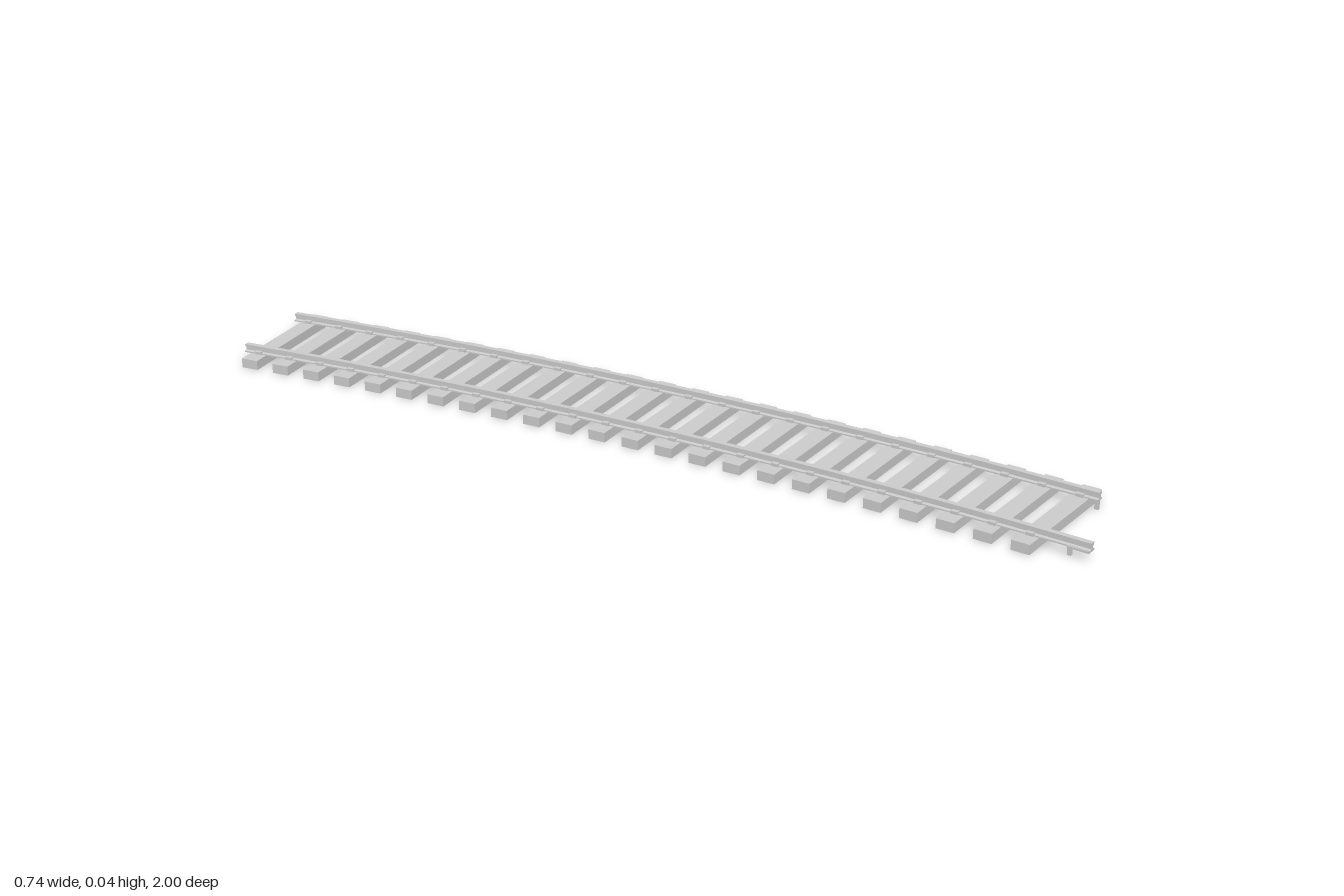
import * as THREE from 'three';

const R = 9;                                   // centreline radius of the curve
const MID = THREE.MathUtils.degToRad(13.97);   // heading at the middle
const HALF = 0.1026;                           // half the angle between end sleepers
const COUNT = 24;
const GAUGE = 0.104;                           // rail offset from the centreline
const TOP = 0.021;                             // sleeper height

const mat = new THREE.MeshStandardMaterial({ color: 0xcccccc, flatShading: true });
const matDouble = new THREE.MeshStandardMaterial({ color: 0xcccccc, flatShading: true, side: THREE.DoubleSide });

export function createModel() {
  const model = new THREE.Group();
  model.name = 'curvedTrack';

  // Everything is placed around the centre of the curve
  const track = new THREE.Group();
  track.name = 'track';
  track.position.set(0.044 - R * Math.cos(MID), 0, -0.046 + R * Math.sin(MID));
  model.add(track);

  const start = MID + HALF, end = MID - HALF;

  // Box sitting across the track at an angle and radius
  const place = (name, geo, r, y, a) => {
    const m = new THREE.Mesh(geo, mat);
    m.name = name;
    m.position.set(r * Math.cos(a), y, -r * Math.sin(a));
    m.rotation.y = a;
    track.add(m);
  };

  // Sleepers with rail chairs; the last sleeper is open underneath
  const sleeper = new THREE.BoxGeometry(0.3, TOP, 0.039);
  const openSleeper = sleeper.clone();
  const idx = Array.from(sleeper.index.array);
  idx.splice(18, 6);
  openSleeper.setIndex(idx);
  const chair = new THREE.BoxGeometry(0.024, 0.006, 0.016);
  for (let i = 0; i < COUNT; i++) {
    const a = start + (end - start) * i / (COUNT - 1);
    place('sleeper', i === COUNT - 1 ? openSleeper : sleeper, R, TOP / 2, a);
    for (const s of [-1, 1]) place('railChair', chair, R + s * GAUGE, TOP + 0.003, a);
  }

  // Rail section: foot, web and head, counter-clockwise
  const half = [[0.009, 0.0205], [0.009, 0.0235], [0.0025, 0.025], [0.0025, 0.031], [0.006, 0.0325], [0.006, 0.038]];
  const section = [...half, ...half.map(([x, y]) => [-x, y]).reverse()];

  // Rail swept round the curve, with both ends closed
  const addRail = (name, r, a0, a1) => {
    const pts = section.map(([x, y]) => new THREE.Vector2(r + x, y));
    const sweep = new THREE.LatheGeometry([...pts, pts[0].clone()], 32, Math.PI / 2 + a1, a0 - a1).toNonIndexed();
    sweep.computeVertexNormals();
    const rail = new THREE.Group();
    rail.name = name;
    rail.add(new THREE.Mesh(sweep, matDouble));
    for (const a of [a0, a1]) {
      const cap = new THREE.Mesh(new THREE.ShapeGeometry(new THREE.Shape(pts)), matDouble);
      cap.rotation.y = a;
      rail.add(cap);
    }
    rail.children.forEach((m) => { m.name = name + 'Surface'; });
    track.add(rail);
  };
  const innerEnd = end - 0.125 / R, outerEnd = end - 0.038 / R;
  addRail('innerRail', R - GAUGE, start + 0.036 / R, innerEnd);
  addRail('outerRail', R + GAUGE, start + 0.036 / R, outerEnd);

  // Joiner plate under the longer rail, and small tabs near the rail ends
  place('railJoiner', new THREE.BoxGeometry(0.022, 0.004, 0.045), R - GAUGE, 0.0205, innerEnd + 0.024 / R);
  const tab = new THREE.BoxGeometry(0.007, 0.024, 0.008);
  place('innerTab', tab, R - GAUGE, 0.012, innerEnd + 0.045 / R);
  place('outerTab', tab, R + GAUGE, 0.012, outerEnd + 0.005 / R);

  return model;
}
